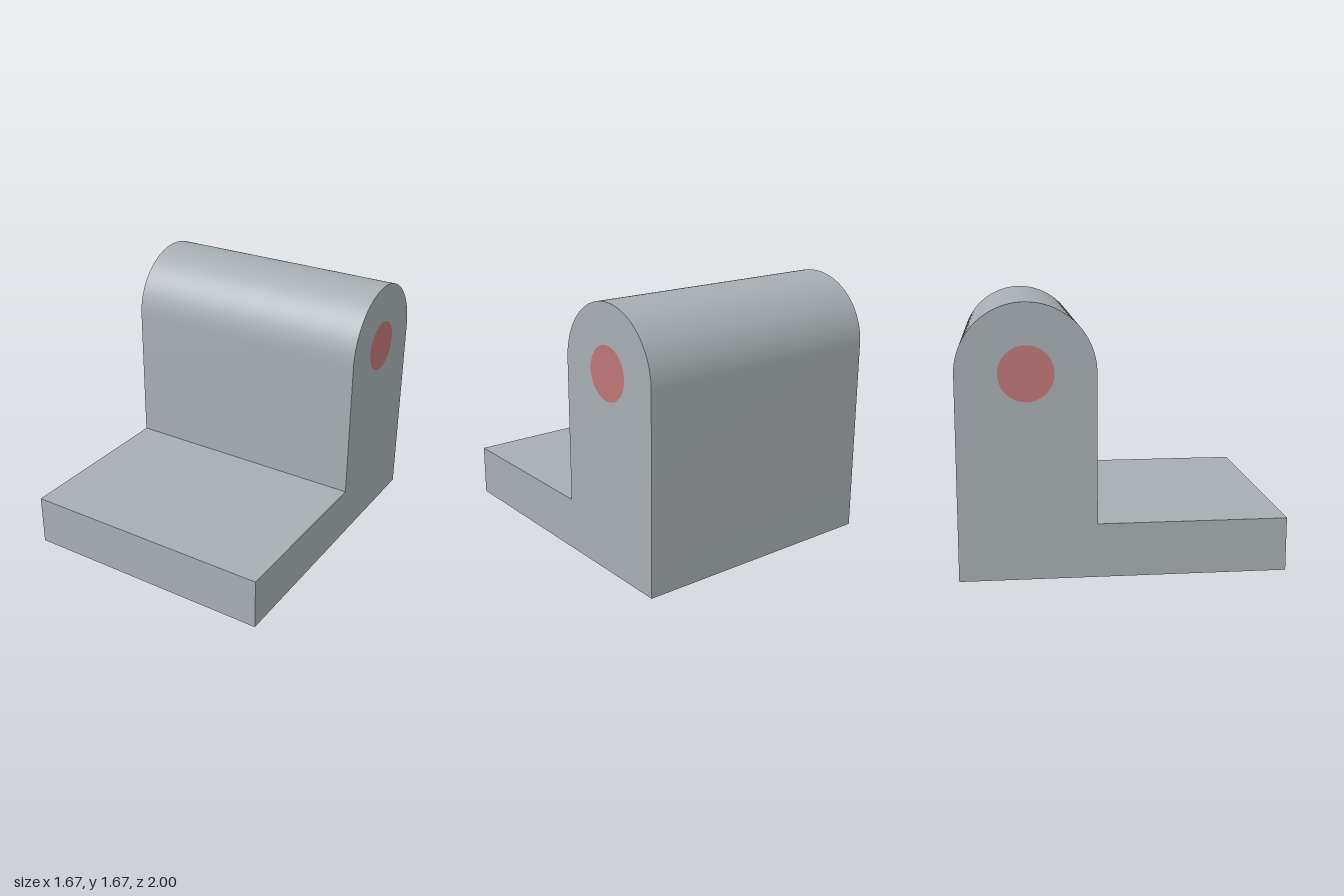
import * as THREE from 'three';
import { toCreasedNormals } from 'three/addons/utils/BufferGeometryUtils.js';

const WIDTH = 5 / 3;
const BASE_HEIGHT = 1 / 3;
const ARCH = { x: 7 / 12, y: 1.25, radius: 5 / 12 }; // profile x runs towards the back
const PIN_RADIUS = 1 / 6;

// Extrudes a side profile across the full width, centred on x = 0
function extrudeAcross(shape) {
  const geometry = new THREE.ExtrudeGeometry(shape, { depth: WIDTH, bevelEnabled: false, curveSegments: 48 });
  geometry.translate(0, 0, -WIDTH / 2).rotateY(Math.PI / 2);
  return toCreasedNormals(geometry, Math.PI / 6);
}

export function createModel() {
  const grey = new THREE.MeshStandardMaterial({ color: 0xa6adb1 });
  grey.name = 'steel grey';
  const red = new THREE.MeshStandardMaterial({ color: 0xbe7676 });
  red.name = 'muted red';

  // Flat base with a round-topped upright at the back
  const profile = new THREE.Shape();
  profile.moveTo(-1, 0);
  profile.lineTo(1, 0);
  profile.absarc(ARCH.x, ARCH.y, ARCH.radius, 0, Math.PI, false);
  profile.lineTo(ARCH.x - ARCH.radius, BASE_HEIGHT);
  profile.lineTo(-1, BASE_HEIGHT);
  profile.closePath();

  // Bore through the upright, filled by a flush pin
  const circle = new THREE.Shape().absarc(ARCH.x, ARCH.y, PIN_RADIUS, 0, Math.PI * 2, false);
  profile.holes.push(circle);

  const bracket = new THREE.Mesh(extrudeAcross(profile), grey);
  bracket.name = 'bracket';
  const pin = new THREE.Mesh(extrudeAcross(circle), red);
  pin.name = 'pin';

  const model = new THREE.Group();
  model.name = 'hingeBracket';
  model.add(bracket, pin);
  return model;
}
